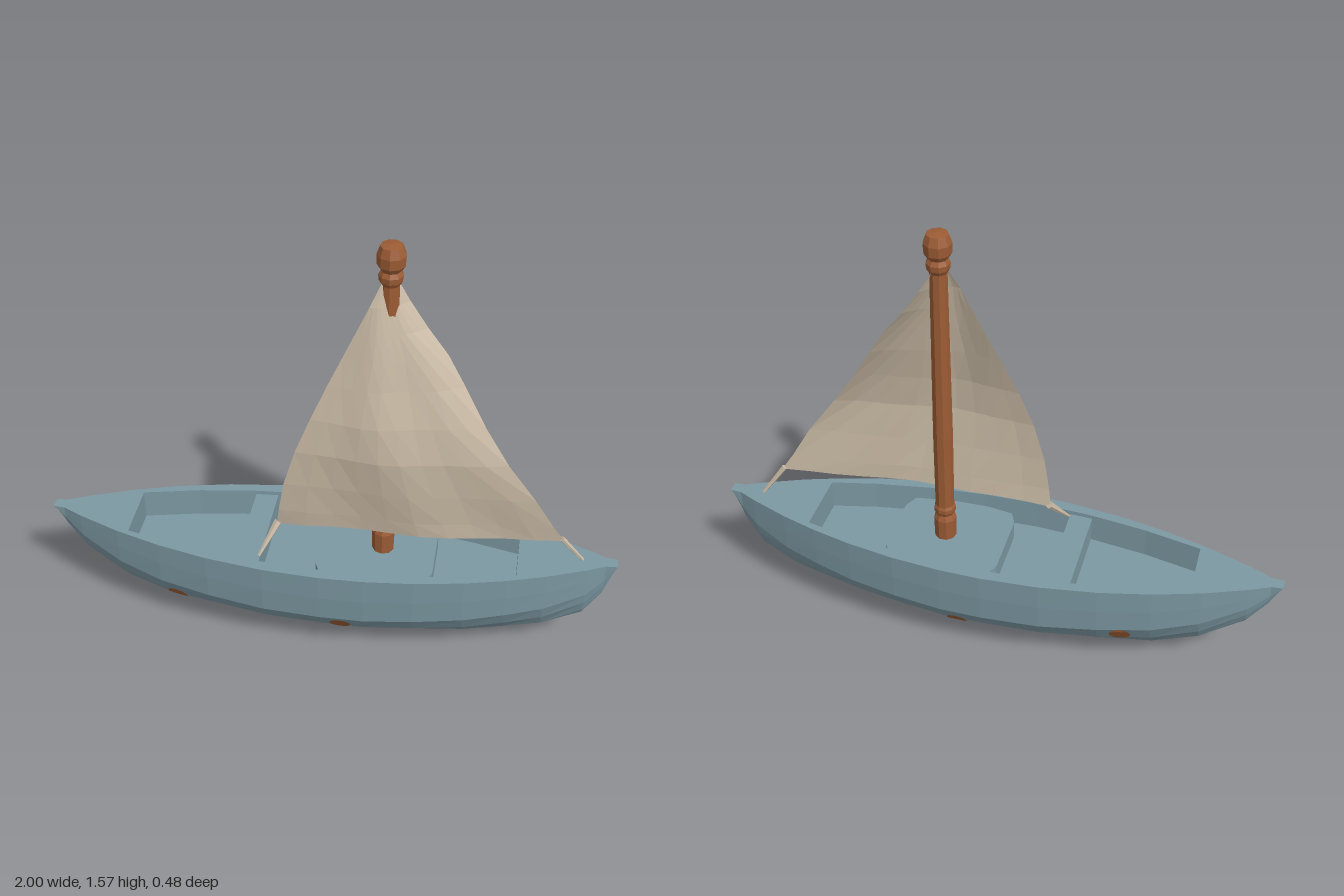
import * as THREE from 'three';

const DECK = 0.4, FLOOR = 0.29;

// piecewise-linear lookup in rows [key, value]
function lerpTable(rows, k) {
  for (let i = 1; i < rows.length; i++) {
    const [a, va] = rows[i - 1], [b, vb] = rows[i];
    if (k <= b) return va + (vb - va) * Math.max(0, (k - a) / (b - a));
  }
  return rows[rows.length - 1][1];
}

// keel height along the boat, and section width against relative height
const KEEL = [[-1, 0.4], [-0.96, 0.31], [-0.89, 0.21], [-0.74, 0.1], [-0.58, 0.045], [-0.2, 0.005],
  [0.15, 0], [0.49, 0.03], [0.76, 0.085], [0.9, 0.16], [0.96, 0.26], [1, 0.4]];
const SECTION = [[0, 0.05], [0.1, 0.34], [0.3, 0.7], [0.5, 0.93], [0.75, 0.975], [1, 1]];
const STATIONS = [-1, -0.96, -0.89, -0.74, -0.58, -0.4, -0.2, 0, 0.15, 0.32, 0.49, 0.63, 0.76, 0.9, 0.96, 1];
const keelAt = x => lerpTable(KEEL, x);
const halfWidth = x => Math.max(0.02, 0.24 * Math.pow(Math.max(0, 1 - x * x), 0.93));
const hullZ = (x, y) => halfWidth(x) * lerpTable(SECTION, (y - keelAt(x)) / (DECK - keelAt(x)));

// surface through a grid of points
function gridSurface(grid) {
  const n = grid[0].length, index = [];
  for (let i = 0; i < grid.length - 1; i++) for (let j = 0; j < n - 1; j++) {
    const a = i * n + j, b = a + n;
    index.push(a, a + 1, b, a + 1, b + 1, b);
  }
  const g = new THREE.BufferGeometry();
  g.setAttribute('position', new THREE.Float32BufferAttribute(grid.flat(2), 3));
  g.setIndex(index);
  g.computeVertexNormals();
  return g;
}

// closed plan outline following the hull between two x positions
function planOutline(xs, scale) {
  const side = xs.map(x => new THREE.Vector2(x, -halfWidth(x) * scale));
  return [...side, ...side.map(p => new THREE.Vector2(p.x, -p.y)).reverse()];
}

export function createModel() {
  const model = new THREE.Group();
  const material = (name, color, side = THREE.FrontSide) => {
    const m = new THREE.MeshStandardMaterial({ color, side, flatShading: true });
    m.name = name;
    return m;
  };
  const blue = material('hull blue', 0x7d99a3, THREE.DoubleSide);
  const wood = material('mast wood', 0x9c5c35, THREE.DoubleSide);
  const cloth = material('sail cloth', 0xc8b9a4, THREE.DoubleSide);
  const add = (name, geometry, mat, parent = model) => {
    const mesh = new THREE.Mesh(geometry, mat);
    mesh.name = name;
    parent.add(mesh);
    return mesh;
  };

  // hull skin: each section runs from the left rail round the keel to the other rail
  add('hull', gridSurface(STATIONS.map(x => {
    const k = keelAt(x), w = halfWidth(x);
    const half = SECTION.map(([t, f]) => [x, k + (DECK - k) * t, w * f]);
    return [...half.slice().reverse(), ...half.map(([a, y, z]) => [a, y, -z])];
  })), blue);

  // deck rim with the cockpit opening
  const cockpitXs = [-0.7, -0.5, -0.3, -0.1, 0.1, 0.3, 0.5, 0.66];
  const cockpit = planOutline(cockpitXs, 0.83);
  const rim = new THREE.Shape(planOutline(STATIONS, 1));
  rim.holes.push(new THREE.Path(cockpit));
  add('deck', new THREE.ShapeGeometry(rim).rotateX(-Math.PI / 2).translate(0, DECK, 0), blue);
  add('cockpitFloor', new THREE.ShapeGeometry(new THREE.Shape(cockpit))
    .rotateX(-Math.PI / 2).translate(0, FLOOR, 0), blue);
  add('cockpitWall', gridSurface([...cockpit, cockpit[0]].map(p =>
    [[p.x, FLOOR, -p.y], [p.x, DECK, -p.y]])), blue);

  // raised blocks standing on the cockpit floor
  const block = (name, outline, top) => add(name,
    new THREE.ExtrudeGeometry(new THREE.Shape(outline), { depth: top - FLOOR, bevelEnabled: false })
      .rotateX(-Math.PI / 2).translate(0, FLOOR, 0), blue);
  block('bench', planOutline([-0.3, -0.22], 0.83), 0.385);
  const stepSide = [[-0.03, 0.12], [-0.01, 0.165], [0.08, 0.18], [0.22, 0.18], [0.35, 0.16], [0.375, 0.11]];
  block('mastStep', [...stepSide.map(([x, z]) => new THREE.Vector2(x, -z)),
    ...stepSide.slice().reverse().map(([x, z]) => new THREE.Vector2(x, z))], 0.36);

  // round plugs that follow the hull surface
  const plug = (x, y, side) => {
    const g = new THREE.RingGeometry(0.0005, 0.037, 14, 3).translate(x, y, 0);
    const p = g.attributes.position;
    for (let i = 0; i < p.count; i++) p.setZ(i, side * (hullZ(p.getX(i), p.getY(i)) + 0.007));
    g.computeVertexNormals();
    add('hullPlug', g, wood);
  };
  plug(-0.53, 0.15, 1);
  plug(0.07, 0.165, 1);
  plug(-0.48, 0.19, -1);
  plug(0.1, 0.13, -1);

  // mast with turned base, collar and ball top
  const mastProfile = [[0, 0.36], [0.038, 0.36], [0.04, 0.44], [0.032, 0.46], [0.038, 0.475], [0.038, 0.49],
    [0.033, 0.5], [0.034, 0.8], [0.029, 1.43], [0.038, 1.445], [0.04, 1.465], [0.032, 1.48],
    [0.045, 1.5], [0.047, 1.535], [0.036, 1.565], [0, 1.57]];
  const mast = add('mast', new THREE.LatheGeometry(mastProfile.map(p => new THREE.Vector2(...p)), 9), wood);
  mast.position.x = 0.19;

  // sail rows: height, left edge x, right edge x, then z at left, middle and right
  const sailRows = [
    [0.49, -0.17, 0.81, 0.085, 0.08, 0.03], [0.56, -0.16, 0.77, 0.095, 0.085, 0.04],
    [0.68, -0.14, 0.7, 0.1, 0.1, 0.055], [0.82, -0.1, 0.6, 0.1, 0.115, 0.06],
    [0.95, -0.05, 0.515, 0.09, 0.105, 0.04], [1.08, 0.005, 0.44, 0.07, 0.08, 0.01],
    [1.18, 0.05, 0.38, 0.055, 0.062, -0.01], [1.27, 0.09, 0.31, 0.045, 0.045, -0.02],
    [1.36, 0.13, 0.25, 0.035, 0.024, -0.025], [1.44, 0.165, 0.205, 0.01, 0.005, -0.025]];
  const COLS = 10;
  add('sail', gridSurface(sailRows.map(([y, xl, xr, zl, zm, zr], r) =>
    Array.from({ length: COLS + 1 }, (_, c) => {
      const u = c / COLS;
      const z = zl * (1 - u) * (1 - 2 * u) + zm * 4 * u * (1 - u) + zr * u * (2 * u - 1);
      const ripple = 0.01 * Math.sin(u * 11 + y * 4) * Math.sin(Math.PI * u) * Math.min(1, (9 - r) / 5);
      return [xl + (xr - xl) * u, y + (r === 0 ? 0.01 * Math.min(1, u * 5) : 0), z + ripple];
    }))), cloth);

  // tapered corner ties from the sail to the rail
  const tie = (name, from, to, r0, r1) => {
    const a = new THREE.Vector3(...from), b = new THREE.Vector3(...to), d = b.clone().sub(a);
    const mesh = add(name, new THREE.CylinderGeometry(r1, r0, d.length(), 6), cloth);
    mesh.position.copy(a).addScaledVector(d, 0.5);
    mesh.quaternion.setFromUnitVectors(new THREE.Vector3(0, 1, 0), d.normalize());
  };
  tie('rearTie', [-0.165, 0.5, 0.085], [-0.22, 0.4, 0.16], 0.014, 0.005);
  tie('frontTie', [0.8, 0.51, 0.03], [0.88, 0.4, 0], 0.01, 0.006);

  return model;
}
